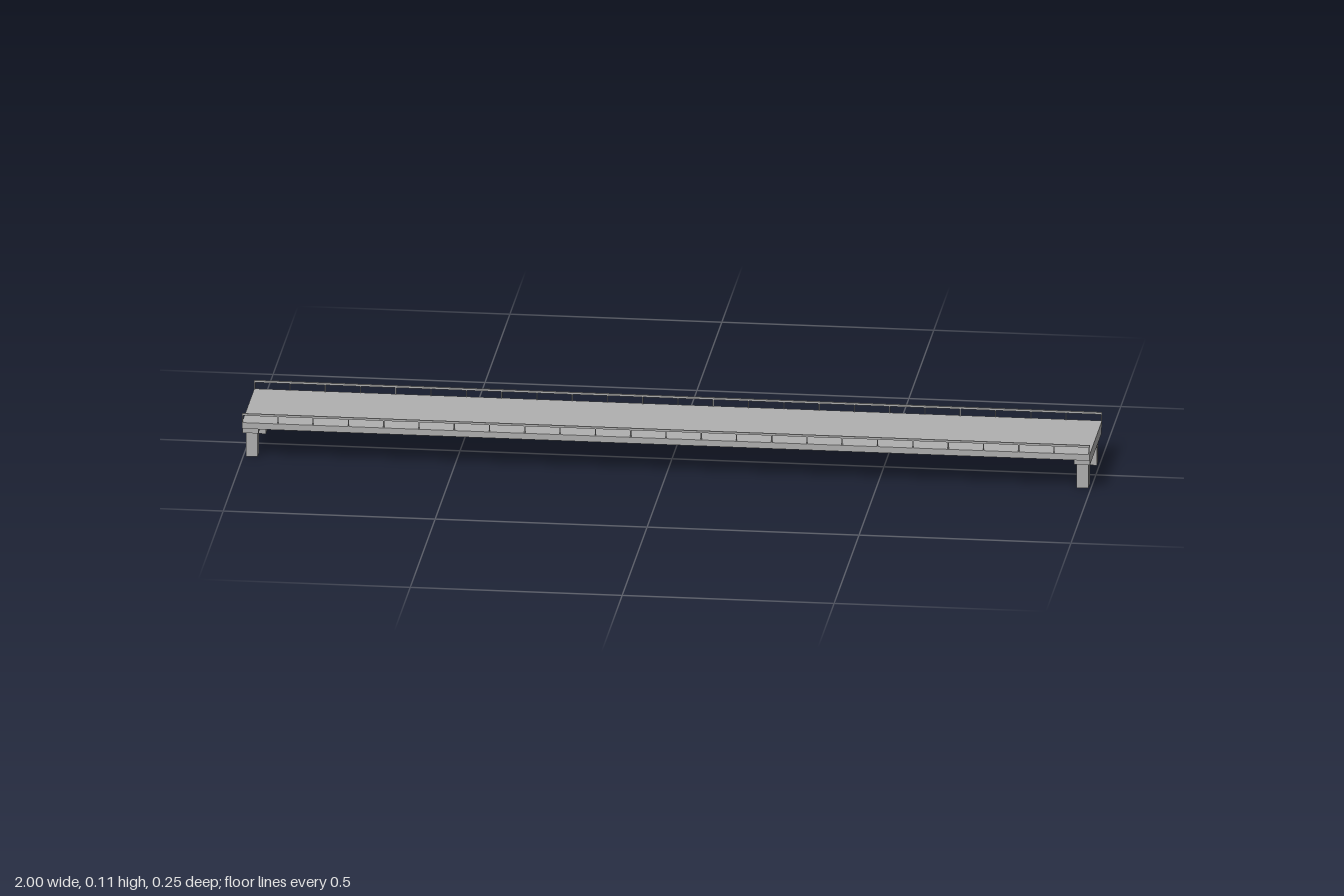
import * as THREE from 'three';

const concrete = new THREE.MeshStandardMaterial({ color: 0xb0b0b0 });
concrete.name = 'concrete grey';

function box(parent, name, [w, h, d], [x, y, z]) {
  const mesh = new THREE.Mesh(new THREE.BoxGeometry(w, h, d), concrete);
  mesh.name = name;
  mesh.position.set(x, y, z);
  parent.add(mesh);
}

export function createModel() {
  const bridge = new THREE.Group();
  bridge.name = 'bridge';

  // Deck slab
  box(bridge, 'deck', [2, 0.015, 0.249], [0, 0.0845, 0]);

  // End piers: a cross beam on two square columns
  for (const sx of [-1, 1]) {
    const pier = new THREE.Group();
    pier.name = sx > 0 ? 'leftPier' : 'rightPier';
    box(pier, 'crossBeam', [0.038, 0.013, 0.234], [sx * 0.981, 0.0705, 0]);
    for (const z of [0.084, -0.083])
      box(pier, 'column', [0.028, 0.064, 0.0285], [sx * 0.98, 0.032, z]);
    bridge.add(pier);
  }

  // Railings: a top bar on evenly spaced posts
  const bays = 24, postWidth = 0.0025;
  for (const sz of [-1, 1]) {
    const railing = new THREE.Group();
    railing.name = sz > 0 ? 'frontRailing' : 'backRailing';
    box(railing, 'topRail', [2, 0.005, 0.004], [0, 0.1115, sz * 0.1215]);
    for (let i = 0; i <= bays; i++) {
      const x = -1 + postWidth / 2 + (i / bays) * (2 - postWidth);
      box(railing, 'post', [postWidth, 0.017, postWidth], [x, 0.1005, sz * 0.1215]);
    }
    bridge.add(railing);
  }
  return bridge;
}
